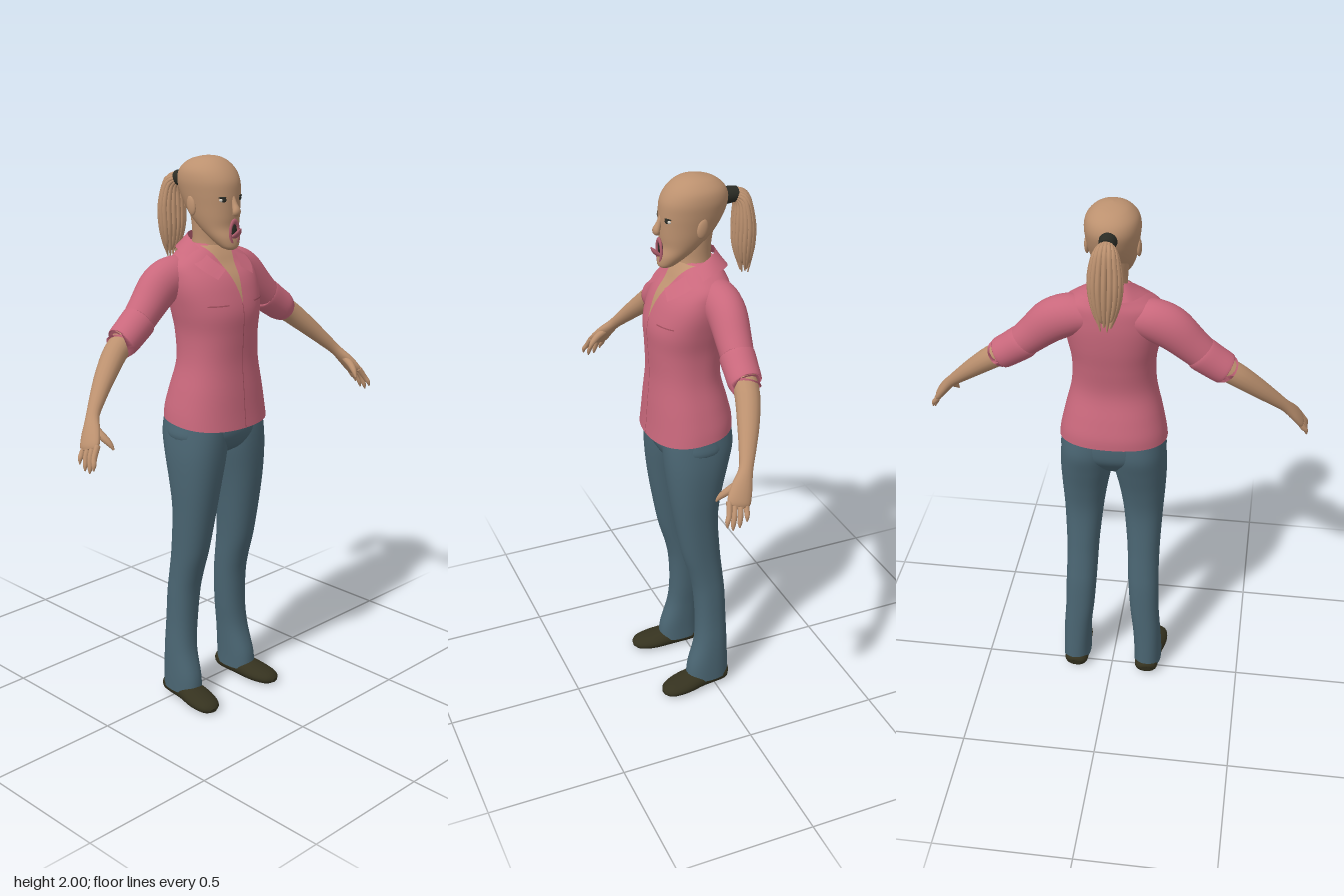
import * as THREE from 'three';

const mat = (name, color, side = THREE.FrontSide) => {
  const m = new THREE.MeshStandardMaterial({ color, side });
  m.name = name;
  return m;
};
const spline = (a, b, c, d, t) =>
  b + 0.5 * t * (c - a + t * (2 * a - 5 * b + 4 * c - d + t * (3 * (b - c) + d - a)));

// Smoothly interpolated table row at fractional index k
function rowAt(rows, k) {
  const n = rows.length - 1, i = Math.min(Math.floor(k), n - 1);
  const r = (j) => rows[Math.max(0, Math.min(n, j))];
  return r(i).map((_, c) => spline(r(i - 1)[c], r(i)[c], r(i + 1)[c], r(i + 2)[c], k - i));
}

// Skin a list of closed rings, with fans on both ends
function skinRings(rings) {
  const n = rings[0].length, pos = [], idx = [];
  rings.forEach((ring) => ring.forEach((p) => pos.push(p.x, p.y, p.z)));
  for (let i = 0; i < rings.length - 1; i++)
    for (let j = 0; j < n; j++) {
      const a = i * n + j, b = i * n + (j + 1) % n;
      idx.push(a, b, b + n, a, b + n, a + n);
    }
  [rings[0], rings[rings.length - 1]].forEach((ring, end) => {
    const base = pos.length / 3, c = new THREE.Vector3();
    ring.forEach((p) => { pos.push(p.x, p.y, p.z); c.addScaledVector(p, 1 / n); });
    pos.push(c.x, c.y, c.z);
    for (let j = 0; j < n; j++) {
      const a = base + j, b = base + (j + 1) % n;
      idx.push(...(end ? [a, b, base + n] : [b, a, base + n]));
    }
  });
  return finish(pos, idx);
}
function finish(pos, idx) {
  const g = new THREE.BufferGeometry();
  g.setAttribute('position', new THREE.Float32BufferAttribute(pos, 3));
  g.setIndex(idx);
  g.computeVertexNormals();
  return g;
}

// Horizontal sections: rows of [y, centreX, halfWidth, zFront, zBack]
function stack(rows, power = 2, warp = (p) => p, sides = 40, sub = 5) {
  const rings = [], count = (rows.length - 1) * sub;
  const se = (v) => Math.sign(v) * Math.pow(Math.abs(v), 2 / power);
  for (let i = 0; i <= count; i++) {
    const [y, x, a, zf, zb] = rowAt(rows, i / sub);
    rings.push(Array.from({ length: sides }, (_, j) => {
      const t = (j / sides) * Math.PI * 2;
      return warp(new THREE.Vector3(x + a * se(Math.sin(t)), y, (zf + zb) / 2 + (zf - zb) / 2 * se(Math.cos(t))));
    }));
  }
  return skinRings(rings);
}

// Bent limb: points of [x, y, z, radius along ref, radius across ref]
function limb(points, ref = new THREE.Vector3(0, 0, 1), warp = (p) => p, sides = 16, sub = 4) {
  const rings = [], last = points.length - 1;
  const at = (k) => new THREE.Vector3(...rowAt(points, k).slice(0, 3));
  for (let i = 0; i <= last * sub; i++) {
    const k = i / sub, r = rowAt(points, k), c = at(k);
    const t = at(Math.min(k + 0.05, last)).sub(at(Math.max(k - 0.05, 0))).normalize();
    const u = ref.clone().addScaledVector(t, -ref.dot(t)).normalize();
    const v = t.clone().cross(u);
    rings.push(Array.from({ length: sides }, (_, j) => {
      const q = (j / sides) * Math.PI * 2;
      return warp(c.clone().addScaledVector(u, r[3] * Math.cos(q)).addScaledVector(v, r[4] * Math.sin(q)));
    }));
  }
  return skinRings(rings);
}

// Open sheet from a function of (u, v)
function sheet(fn, nu, nv) {
  const pos = [], idx = [];
  for (let i = 0; i <= nv; i++) for (let j = 0; j <= nu; j++) {
    const p = fn(j / nu, i / nv);
    pos.push(p.x, p.y, p.z);
    if (i < nv && j < nu) {
      const a = i * (nu + 1) + j, b = a + nu + 1;
      idx.push(a, a + 1, b + 1, a, b + 1, b);
    }
  }
  return finish(pos, idx);
}

export function createModel() {
  const model = new THREE.Group();
  const skin = mat('skin', 0xbc916f), shirt = mat('shirt', 0xc9687c, THREE.DoubleSide);
  const seam = mat('seam', 0xa4505f, THREE.DoubleSide), denim = mat('denim', 0x4a6572);
  const leather = mat('shoe leather', 0x35321f), dark = mat('hair tie', 0x2b2c25);
  const tongueMat = mat('tongue', 0xb2606f), white = mat('eye white', 0xd9d3c8);
  const chestSkin = mat('chest skin', 0xbc916f, THREE.DoubleSide);
  const add = (name, geo, m) => {
    const mesh = new THREE.Mesh(geo, m);
    mesh.name = name;
    model.add(mesh);
    return mesh;
  };
  const ball = (name, m, [x, y, z], [a, b, c]) => {
    const mesh = add(name, new THREE.SphereGeometry(1, 24, 16), m);
    mesh.position.set(x, y, z);
    mesh.scale.set(a, b, c);
    return mesh;
  };

  // Shirt body, hem dipping at the front
  const torso = [[1.085, 0, 0.195, 0.2, -0.105], [1.13, 0, 0.189, 0.195, -0.103], [1.2, 0, 0.174, 0.189, -0.088],
    [1.3, 0, 0.151, 0.18, -0.066], [1.4, 0, 0.148, 0.183, -0.077], [1.48, 0, 0.162, 0.185, -0.09],
    [1.55, 0, 0.174, 0.165, -0.096], [1.6, 0, 0.174, 0.14, -0.095], [1.64, 0, 0.165, 0.105, -0.09],
    [1.668, 0, 0.128, 0.085, -0.08], [1.69, 0, 0.09, 0.066, -0.072], [1.705, 0, 0.062, 0.05, -0.06]];
  const hem = (p) => {
    p.y -= 0.11 * (p.z - 0.045) * Math.max(0, 1 - (p.y - 1.085) / 0.2);
    return p;
  };
  add('shirtBody', stack(torso, 2.3, hem, 56), shirt);
  const patch = (k0, k1, x0, x1, lift) => sheet((u, v) => {
    const [y, , a, zf, zb] = rowAt(torso, k0 + (k1 - k0) * v);
    const x = x0(v) + (x1(v) - x0(v)) * u, e = Math.max(0, 1 - Math.pow(Math.abs(x) / a, 2.3));
    return hem(new THREE.Vector3(x, y, (zf + zb) / 2 + (zf - zb) / 2 * Math.pow(e, 1 / 2.3) + lift));
  }, 10, 20);
  add('openNeckline', patch(5.45, 10.6, (v) => -0.062 * v, (v) => 0.062 * v, 0.004), chestSkin);
  add('placketSeam', patch(0, 5.45, () => -0.0015, () => 0.0015, 0.002), seam);

  // Neck and head
  add('neck', stack([[1.6, 0, 0.07, 0.085, -0.06], [1.66, 0, 0.058, 0.072, -0.055], [1.71, 0, 0.052, 0.06, -0.046],
    [1.76, 0, 0.054, 0.06, -0.046], [1.82, 0, 0.06, 0.06, -0.055]]), skin);
  add('head', stack([[1.69, 0, 0.012, 0.132, 0.105], [1.7, 0, 0.032, 0.143, 0.085], [1.73, 0, 0.053, 0.142, 0.04],
    [1.765, 0, 0.068, 0.132, -0.005], [1.8, 0, 0.078, 0.134, -0.045], [1.84, 0, 0.085, 0.135, -0.075],
    [1.88, 0, 0.091, 0.135, -0.095], [1.92, 0, 0.094, 0.13, -0.104], [1.955, 0, 0.086, 0.11, -0.092],
    [1.982, 0, 0.062, 0.08, -0.06], [1.995, 0, 0.034, 0.05, -0.02], [2, 0, 0.002, 0.018, 0.01]], 2.1), skin);
  add('nose', limb([[0, 1.872, 0.127, 0.008, 0.008], [0, 1.845, 0.138, 0.01, 0.01], [0, 1.822, 0.148, 0.013, 0.016],
    [0, 1.81, 0.142, 0.008, 0.012]]), skin);

  // Open mouth and tongue
  ball('mouthOpening', dark, [0, 1.75, 0.129], [0.018, 0.036, 0.012]);
  const lips = add('lips', new THREE.TorusGeometry(0.02, 0.005, 10, 32), tongueMat);
  lips.position.set(0, 1.75, 0.138);
  lips.scale.set(1, 1.9, 1);
  add('tongue', limb([[0, 1.735, 0.115, 0.008, 0.012], [0, 1.738, 0.14, 0.008, 0.015], [0, 1.752, 0.157, 0.007, 0.013],
    [0, 1.766, 0.167, 0.002, 0.004]], new THREE.Vector3(0, 1, 0)), tongueMat);

  for (const s of [1, -1]) {
    const side = s > 0 ? 'left' : 'right';
    const flip = (pts) => pts.map(([x, ...rest]) => [x * s, ...rest]);

    // Face details
    ball(side + 'Eye', white, [s * 0.038, 1.862, 0.121], [0.015, 0.008, 0.007]).rotation.y = s * 0.3;
    ball(side + 'Pupil', dark, [s * 0.038, 1.862, 0.1255], [0.009, 0.008, 0.004]).rotation.y = s * 0.3;
    ball(side + 'Lash', dark, [s * 0.039, 1.87, 0.122], [0.018, 0.0035, 0.006]).rotation.y = s * 0.3;
    ball(side + 'Ear', skin, [s * 0.087, 1.838, 0.018], [0.009, 0.034, 0.019]).rotation.x = -0.2;

    // Collar flap
    const top = flip([[0, 1.738, -0.06], [0.05, 1.733, -0.04], [0.07, 1.71, 0.01], [0.062, 1.665, 0.085], [0.036, 1.628, 0.135]]);
    const low = flip([[0, 1.685, -0.094], [0.07, 1.686, -0.08], [0.118, 1.68, 0], [0.12, 1.637, 0.092], [0.085, 1.6, 0.146]]);
    add(side + 'Collar', sheet((u, v) => new THREE.Vector3(...rowAt(top, u * 4))
      .lerp(new THREE.Vector3(...rowAt(low, u * 4)), v), 24, 4), shirt);
    add(side + 'PocketSeam', patch(5.4, 5.46, () => s * 0.06, () => s * 0.13, 0.003), seam);

    // Sleeve and rolled cuff
    add(side + 'Sleeve', limb(flip([[0.06, 1.6, -0.02, 0.06, 0.055], [0.13, 1.597, -0.021, 0.068, 0.072],
      [0.2, 1.57, -0.022, 0.066, 0.076], [0.27, 1.508, -0.015, 0.06, 0.064], [0.33, 1.452, -0.008, 0.054, 0.056],
      [0.37, 1.424, -0.004, 0.051, 0.052]]), undefined, undefined, 28), shirt);
    add(side + 'Cuff', limb(flip([[0.303, 1.474, -0.01, 0.053, 0.053], [0.308, 1.47, -0.01, 0.06, 0.061],
      [0.35, 1.44, -0.006, 0.059, 0.059], [0.39, 1.413, -0.002, 0.057, 0.056], [0.395, 1.41, -0.002, 0.05, 0.05]]),
    undefined, undefined, 28), shirt);

    // Forearm, palm, fingers and thumb
    add(side + 'Forearm', limb(flip([[0.36, 1.43, -0.005, 0.043, 0.043], [0.43, 1.385, 0.008, 0.042, 0.041],
      [0.5, 1.325, 0.036, 0.037, 0.034], [0.56, 1.268, 0.066, 0.029, 0.026], [0.605, 1.222, 0.092, 0.024, 0.02],
      [0.637, 1.18, 0.12, 0.036, 0.019], [0.66, 1.145, 0.14, 0.04, 0.016], [0.668, 1.132, 0.146, 0.03, 0.01]])), skin);
    const fingers = [[0.172, 0.192, 1.078], [0.154, 0.172, 1.064], [0.135, 0.149, 1.068], [0.117, 0.124, 1.085]];
    fingers.forEach(([z0, z1, y1], i) => add(side + 'Finger' + (i + 1), limb(flip([
      [0.655, 1.15, z0, 0.01, 0.011], [0.678, 1.115, (z0 + z1) / 2, 0.009, 0.01],
      [0.688, y1 + 0.018, z1, 0.008, 0.008], [0.692, y1, z1 + 0.002, 0.002, 0.002]]), undefined, undefined, 10), skin));
    add(side + 'Thumb', limb(flip([[0.625, 1.195, 0.115, 0.014, 0.014], [0.622, 1.172, 0.155, 0.014, 0.013],
      [0.613, 1.15, 0.182, 0.01, 0.01], [0.607, 1.13, 0.196, 0.003, 0.003]]),
    new THREE.Vector3(1, 0, 0), undefined, 10), skin);

    // Trouser leg and shoe
    add(side + 'TrouserLeg', stack([[0.035, s * 0.142, 0.053, 0.105, -0.06], [0.1, s * 0.141, 0.053, 0.098, -0.06],
      [0.2, s * 0.136, 0.053, 0.068, -0.058], [0.3, s * 0.127, 0.055, 0.06, -0.056], [0.42, s * 0.121, 0.058, 0.066, -0.052],
      [0.5, s * 0.118, 0.059, 0.082, -0.044], [0.6, s * 0.116, 0.062, 0.11, -0.034], [0.75, s * 0.112, 0.073, 0.137, -0.026],
      [0.86, s * 0.107, 0.085, 0.153, -0.042], [0.96, s * 0.098, 0.097, 0.163, -0.068], [1.04, s * 0.09, 0.1, 0.165, -0.088],
      [1.11, s * 0.08, 0.1, 0.16, -0.085]], 2.25), denim);
    add(side + 'Shoe', limb(flip([[0.14, 0.03, -0.06, 0.012, 0.02], [0.14, 0.034, -0.04, 0.034, 0.044],
      [0.145, 0.032, 0.05, 0.038, 0.048], [0.154, 0.024, 0.13, 0.03, 0.054], [0.163, 0.018, 0.188, 0.022, 0.04],
      [0.166, 0.014, 0.21, 0.008, 0.014]]), new THREE.Vector3(0, 1, 0), (p) => {
      p.y = Math.max(0, p.y);
      return p;
    }, 24), leather);
  }

  // Hips joining the legs
  add('hips', stack([[0.955, 0, 0.06, 0.1, -0.02], [0.985, 0, 0.14, 0.145, -0.05], [1.03, 0, 0.19, 0.168, -0.083],
    [1.08, 0, 0.187, 0.17, -0.09], [1.13, 0, 0.175, 0.165, -0.085]], 2.3), denim);

  // Ponytail: dark core, overlapping strands and tie
  const tie = add('hairTie', new THREE.CylinderGeometry(0.026, 0.031, 0.05, 24), dark);
  tie.position.set(0, 1.91, -0.118);
  tie.rotation.x = -Math.PI / 2;
  add('ponytailCore', limb([[0, 1.91, -0.13, 0.015, 0.02], [0, 1.885, -0.16, 0.022, 0.034], [0, 1.81, -0.172, 0.027, 0.042],
    [0, 1.73, -0.172, 0.024, 0.036], [0, 1.66, -0.17, 0.008, 0.012]]), dark);
  for (let i = 0; i < 16; i++) {
    const q = (i / 16) * Math.PI * 2, c = Math.cos(q), n = Math.sin(q), end = 1.645 + 0.018 * Math.sin(i * 2.4);
    add('ponytailStrand' + (i + 1), limb([[0.015 * n, 1.912 + 0.014 * c, -0.13, 0.006, 0.006],
      [0.036 * n, 1.89 + 0.018 * c, -0.16 - 0.016 * c, 0.009, 0.009], [0.05 * n, 1.815, -0.17 - 0.029 * c, 0.01, 0.01],
      [0.046 * n, 1.74, -0.17 - 0.03 * c, 0.01, 0.01], [0.032 * n, 1.68, -0.172 - 0.02 * c, 0.008, 0.008],
      [0.02 * n, end, -0.175 - 0.012 * c, 0.002, 0.002]], undefined, undefined, 8), skin);
  }
  return model;
}
